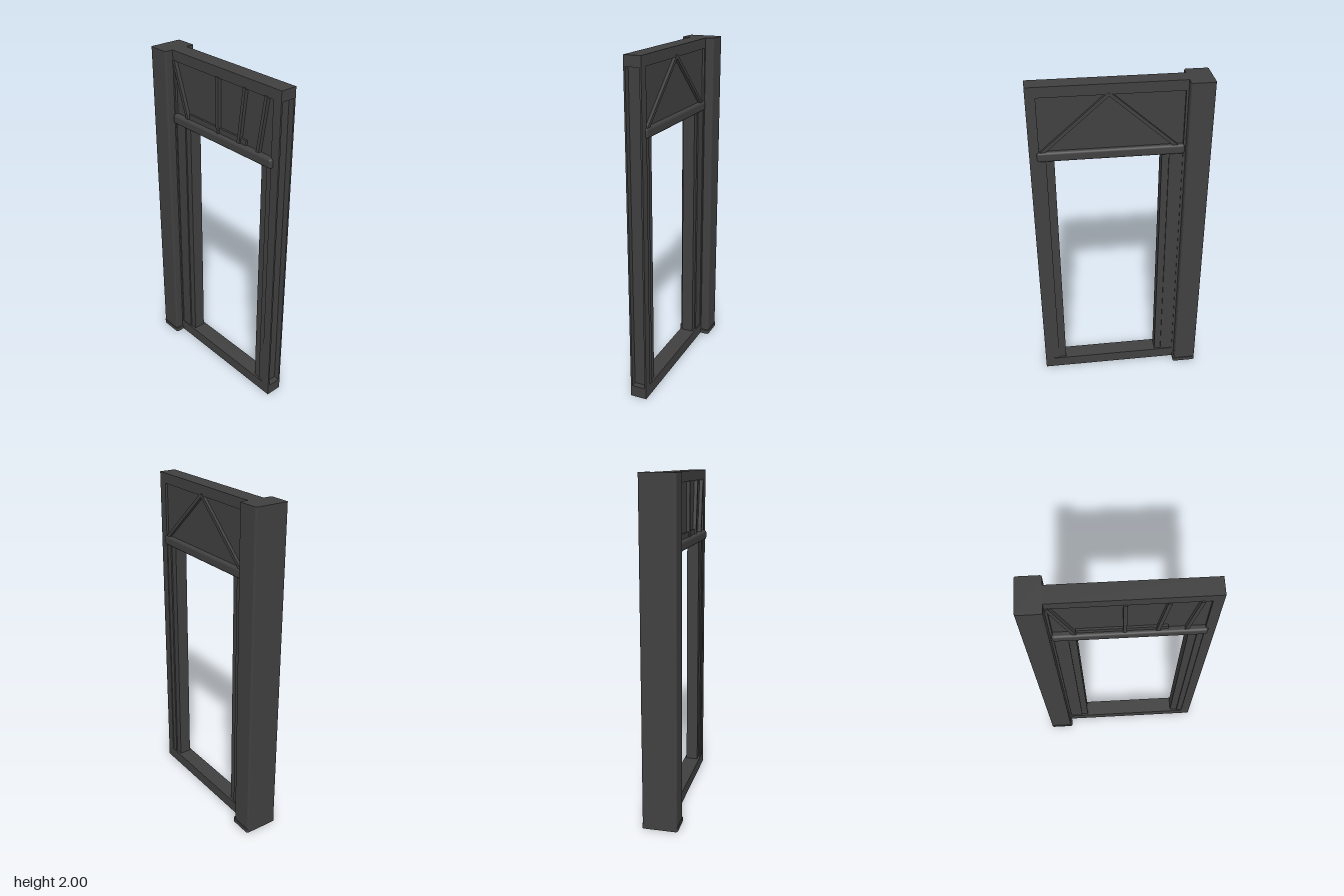
import * as THREE from 'three';
import { RoundedBoxGeometry } from 'three/addons/geometries/RoundedBoxGeometry.js';

export function createModel() {
  const model = new THREE.Group();
  model.name = 'doorFrame';
  const material = new THREE.MeshStandardMaterial({ color: 0x404040, flatShading: true });
  const smooth = new THREE.MeshStandardMaterial({ color: 0x404040 });

  const add = (name, geometry, mat = material) => {
    const mesh = new THREE.Mesh(geometry, mat);
    mesh.name = name;
    model.add(mesh);
    return mesh;
  };
  // Box given by its limits on each axis
  const box = (name, x0, x1, y0, y1, z0, z1) =>
    add(name, new THREE.BoxGeometry(x1 - x0, y1 - y0, z1 - z0))
      .position.set((x0 + x1) / 2, (y0 + y1) / 2, (z0 + z1) / 2);
  // Upright with rounded vertical corners
  const upright = (name, x0, x1, y0, y1, d, r) => {
    const s = new THREE.Shape();
    s.moveTo(x0 + r, -d).lineTo(x1 - r, -d).quadraticCurveTo(x1, -d, x1, -d + r);
    s.lineTo(x1, d - r).quadraticCurveTo(x1, d, x1 - r, d);
    s.lineTo(x0 + r, d).quadraticCurveTo(x0, d, x0, d - r);
    s.lineTo(x0, -d + r).quadraticCurveTo(x0, -d, x0 + r, -d);
    const g = new THREE.ExtrudeGeometry(s, { depth: y1 - y0, bevelEnabled: false, curveSegments: 4 });
    g.rotateX(-Math.PI / 2).translate(0, y0, 0);
    add(name, g);
  };
  // Slim bar between two points of a panel face
  const strut = (name, x0, y0, x1, y1, z, w = 0.02) => {
    const m = add(name, new THREE.BoxGeometry(w, Math.hypot(x1 - x0, y1 - y0), 0.03));
    m.position.set((x0 + x1) / 2, (y0 + y1) / 2, z);
    m.rotation.z = -Math.atan2(x1 - x0, y1 - y0);
  };

  // Heavy post with a slightly wider foot
  upright('mainPost', -0.5, -0.365, 0, 2, 0.102, 0.012);
  upright('postFoot', -0.5, -0.354, 0, 0.025, 0.106, 0.015);

  // Top and bottom beams
  box('topBeam', -0.37, 0.5, 1.94, 2, -0.05, 0.05);
  box('bottomBeam', -0.37, 0.5, 0, 0.07, -0.05, 0.05);

  // Open channel along the outer edge
  box('channelWeb', 0.445, 0.465, 0.07, 1.94, -0.05, 0.05);
  for (const s of [-1, 1]) {
    const a = s * 0.05, b = s * 0.04;
    box('channelFlange', 0.46, 0.5, 0.07, 1.94, Math.min(a, b), Math.max(a, b));
  }

  // Jambs, each with a narrower inner stop
  box('postJambEdge', -0.37, -0.352, 0.07, 1.94, -0.05, 0.05);
  box('postJamb', -0.355, -0.275, 0.07, 1.6, -0.045, 0.045);
  box('postJambStop', -0.28, -0.235, 0.07, 1.6, -0.037, 0.037);
  box('outerJamb', 0.41, 0.45, 0.07, 1.6, -0.045, 0.045);
  box('outerJambStop', 0.365, 0.415, 0.07, 1.6, -0.037, 0.037);

  // Panel above the opening
  box('transomPanel', -0.36, 0.45, 1.565, 1.945, -0.036, 0.036);
  box('panelLedge', -0.23, 0.25, 1.62, 1.655, 0.03, 0.048);

  // Rounded rail under the panel, front and back
  const rail = (name, z) => add(name, new RoundedBoxGeometry(0.82, 0.058, 0.044, 3, 0.015), smooth)
    .position.set(0.05, 1.595, z);
  rail('frontRail', 0.048);
  rail('backRail', -0.038);

  // Struts on the front of the panel
  for (const [x0, x1] of [[-0.235, -0.355], [0.025, 0.025], [0.195, 0.24], [0.345, 0.4]])
    strut('frontStrut', x0, 1.61, x1, 1.945, 0.042);
  // Inverted V on the back of the panel
  for (const x of [-0.32, 0.44]) strut('backStrut', x, 1.61, 0.06, 1.945, -0.038);

  return model;
}
